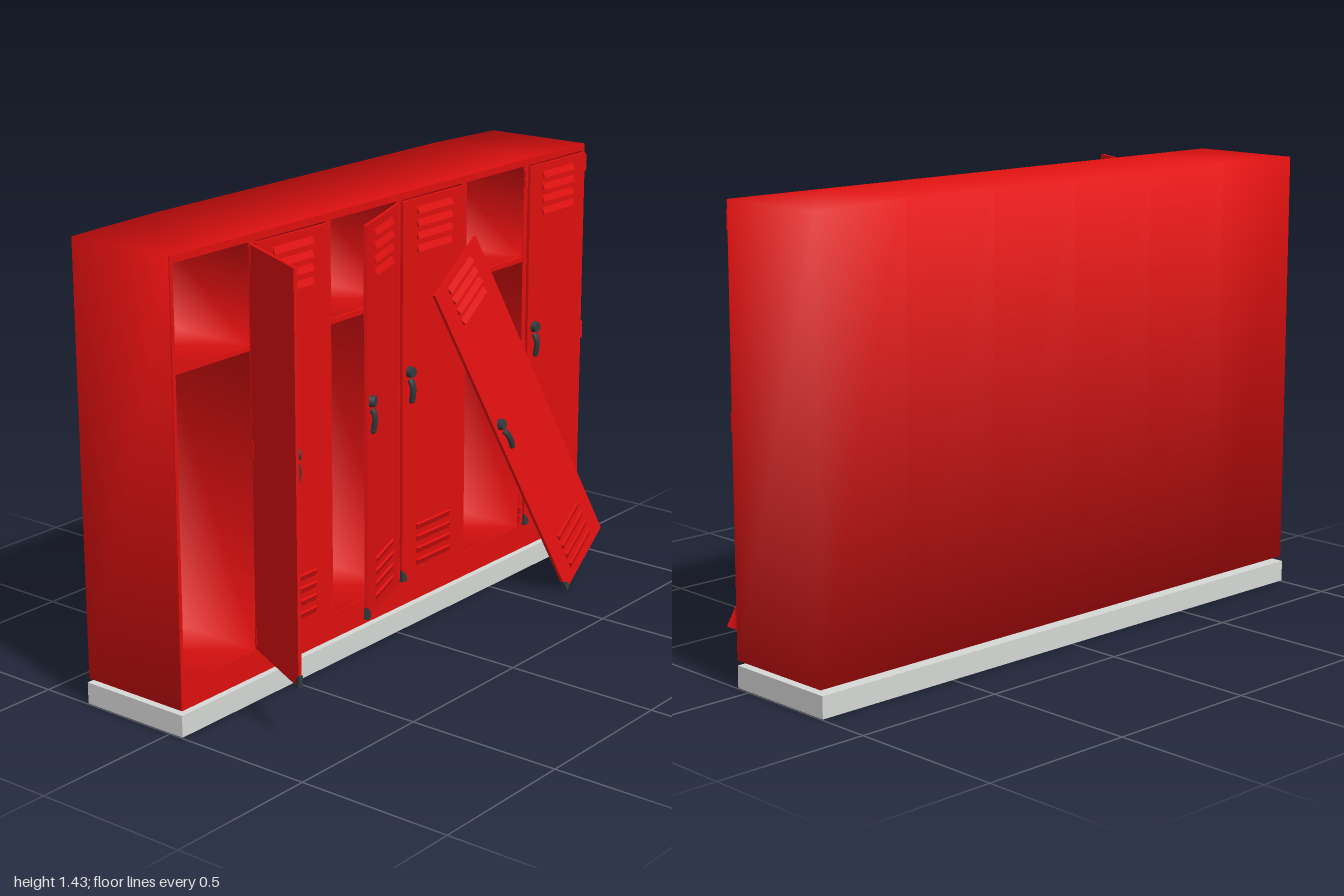
import * as THREE from 'three';

const mat = (name, color) => Object.assign(new THREE.MeshStandardMaterial({ color }), { name });
const red = mat('locker red', 0xe01010);
const grey = mat('plinth grey', 0xd6d8d6);
const dark = mat('dark metal', 0x343a3e);

const BAYS = 6, PITCH = 2 / BAYS, FRONT = 0.05, BACK = -0.322;
const BOTTOM = 0.083, TOP = 1.42, OPEN_LOW = 0.165, OPEN_HIGH = 1.398;
const DOOR_W = 0.313, DOOR_H = 1.224, DOOR_T = 0.01, DOOR_Y = 0.17;

function add(parent, name, geometry, material, x = 0, y = 0, z = 0) {
  const mesh = new THREE.Mesh(geometry, material);
  mesh.name = name;
  mesh.position.set(x, y, z);
  parent.add(mesh);
  return mesh;
}

// Box without its front face, with normals blended round the edges; inside = seen from within
function openBox(x0, x1, y0, y1, z0, z1, segments, inside) {
  const g = new THREE.BoxGeometry(x1 - x0, y1 - y0, z1 - z0, segments, 1, 1);
  g.translate((x0 + x1) / 2, (y0 + y1) / 2, (z0 + z1) / 2);
  const p = g.attributes.position, n = g.attributes.normal, sums = new Map();
  const key = i => [p.getX(i), p.getY(i), p.getZ(i)].map(v => v.toFixed(4)).join();
  const faces = [];
  for (let i = 0; i < g.index.count; i += 3) {
    const [a, b, c] = [0, 1, 2].map(k => g.index.getX(i + k));
    if (n.getZ(a) < 0.5) faces.push(...(inside ? [a, c, b] : [a, b, c]));
  }
  for (let i = 0; i < p.count; i++) {
    if (n.getZ(i) > 0.5) continue;
    const sum = sums.get(key(i)) ?? new Map();
    sum.set([n.getX(i), n.getY(i), n.getZ(i)].map(Math.round).join(), new THREE.Vector3().fromBufferAttribute(n, i));
    sums.set(key(i), sum);
  }
  for (let i = 0; i < p.count; i++) {
    if (!sums.has(key(i))) continue;
    const v = new THREE.Vector3();
    sums.get(key(i)).forEach(normal => v.add(normal));
    v.normalize().multiplyScalar(inside ? -1 : 1);
    n.setXYZ(i, v.x, v.y, v.z);
  }
  g.setIndex(faces);
  g.clearGroups();
  return g;
}

// Wedge louvre; tip is the height at which it stands out furthest
function louvre(tip) {
  const s = new THREE.Shape([[0, -0.011], [0.009, tip], [0, 0.011]].map(a => new THREE.Vector2(...a)));
  const g = new THREE.ExtrudeGeometry(s, { depth: 0.172, bevelEnabled: false });
  return g.translate(0, 0, -0.086).rotateY(-Math.PI / 2).scale(-1, 1, 1);
}

// Mirrored louvre needs its corner order restored
function fixWinding(g) {
  const p = g.attributes.position;
  const a = new THREE.Vector3(), b = new THREE.Vector3();
  for (let i = 0; i < p.count; i += 3) {
    a.fromBufferAttribute(p, i + 1);
    b.fromBufferAttribute(p, i + 2);
    p.setXYZ(i + 1, b.x, b.y, b.z);
    p.setXYZ(i + 2, a.x, a.y, a.z);
  }
  g.computeVertexNormals();
  return g;
}

// Door with its origin at the lower hinge corner, reaching towards -x
function makeDoor(name) {
  const door = new THREE.Group();
  door.name = name;
  add(door, 'doorPanel', new THREE.BoxGeometry(DOOR_W, DOOR_H, DOOR_T), red, -DOOR_W / 2, DOOR_H / 2, DOOR_T / 2);

  // Louvres slope upwards at the top and downwards at the bottom
  const cx = -DOOR_W / 2;
  const upper = fixWinding(louvre(-0.009)), lower = fixWinding(louvre(0.009));
  for (let i = 0; i < 4; i++) {
    add(door, 'upperLouvre', upper, red, cx, 1.068 + i * 0.04, DOOR_T);
    add(door, 'lowerLouvre', lower, red, cx, 0.045 + i * 0.04, DOOR_T);
  }

  // Lock knob and pull handle
  const hx = -DOOR_W + 0.035;
  const knob = add(door, 'lockKnob', new THREE.CylinderGeometry(0.016, 0.019, 0.016, 16), dark, hx, 0.685, DOOR_T + 0.008);
  knob.rotation.x = Math.PI / 2;
  const path = new THREE.CatmullRomCurve3([[0, 0.66, 0.004], [0.001, 0.645, 0.014], [0.003, 0.62, 0.015], [0.007, 0.592, 0.006]]
    .map(a => new THREE.Vector3(...a)));
  const handle = add(door, 'pullHandle', new THREE.TubeGeometry(path, 10, 0.011, 8), dark, hx, 0, DOOR_T);
  handle.scale.z = 0.8;
  add(door, 'handleTip', new THREE.SphereGeometry(0.011, 10, 8), dark, hx + 0.007, 0.592, DOOR_T + 0.004);

  // Corner guard
  const corner = new THREE.Shape([[0, 0], [0.024, 0], [0.02, 0.02], [0, 0.038]].map(a => new THREE.Vector2(...a)));
  add(door, 'cornerGuard', new THREE.ExtrudeGeometry(corner, { depth: 0.014, bevelEnabled: false }), dark, -DOOR_W - 0.001, -0.001, -0.001);
  return door;
}

export function createModel() {
  const model = new THREE.Group();
  model.name = 'lockers';

  add(model, 'plinth', new THREE.BoxGeometry(2, 0.068, 0.38), grey, 0, 0.034, -0.14);

  // Outer shell, its roof rising slightly to the rear
  const shell = openBox(-1, 1, BOTTOM, TOP, BACK, FRONT, BAYS, false);
  const p = shell.attributes.position;
  for (let i = 0; i < p.count; i++) {
    if (p.getY(i) > 1 && p.getZ(i) < 0 && Math.abs(p.getX(i)) < 0.9) p.setY(i, TOP + 0.008);
  }
  add(model, 'outerShell', shell, red);

  // Front frame with one opening for each bay
  const frame = new THREE.Shape([[-1, BOTTOM], [1, BOTTOM], [1, TOP], [-1, TOP]].map(a => new THREE.Vector2(...a)));
  for (let i = 0; i < BAYS; i++) {
    const x0 = -1 + i * PITCH + 0.012, x1 = x0 + PITCH - 0.024;
    frame.holes.push(new THREE.Path([[x0, OPEN_LOW], [x0, OPEN_HIGH], [x1, OPEN_HIGH], [x1, OPEN_LOW]]
      .map(a => new THREE.Vector2(...a))));

    // Bay interior, shelf edge and the shelf's rear lip
    const cx = (x0 + x1) / 2, w = x1 - x0;
    add(model, 'lowerCompartment', openBox(x0, x1, OPEN_LOW, 1.082, BACK + 0.01, FRONT, 1, true), red);
    add(model, 'upperCompartment', openBox(x0, x1, 1.098, OPEN_HIGH, BACK + 0.01, FRONT, 1, true), red);
    add(model, 'shelfEdge', new THREE.BoxGeometry(w, 0.016, 0.01), red, cx, 1.09, FRONT - 0.006);
    add(model, 'shelfLip', new THREE.BoxGeometry(w, 0.072, 0.008), red, cx, 1.134, BACK + 0.016);

    // Hinge barrels
    for (const y of [0.21, 0.785, 1.36]) {
      for (const dy of [-0.015, 0.015]) {
        add(model, 'hinge', new THREE.CylinderGeometry(0.008, 0.008, 0.026, 10), red, x1 + 0.001, y + dy, FRONT + 0.008);
      }
    }
  }
  const frameGeometry = new THREE.ExtrudeGeometry(frame, { depth: 0.004, bevelEnabled: false });
  add(model, 'frontFrame', frameGeometry, red, 0, 0, FRONT - 0.003);

  // Hung doors: opening angle in degrees for each bay, the fifth has come off
  [64, 0, 20.6, 0, null, 0].forEach((angle, i) => {
    if (angle === null) return;
    const door = makeDoor('door' + (i + 1));
    door.position.set(-1 + (i + 1) * PITCH - 0.013, DOOR_Y, FRONT + 0.002);
    door.rotation.y = THREE.MathUtils.degToRad(angle);
    model.add(door);
  });

  // Fallen door leaning on the front
  const fallen = makeDoor('fallenDoor');
  const up = new THREE.Vector3(-0.53, 1.095, -0.155).normalize();
  const normal = new THREE.Vector3(0.27, 0.115, -0.05).cross(up).normalize();
  const across = new THREE.Vector3().crossVectors(up, normal);
  fallen.quaternion.setFromRotationMatrix(new THREE.Matrix4().makeBasis(across, up, normal));
  fallen.position.set(0.907, 0.127, 0.208);
  model.add(fallen);

  return model;
}
